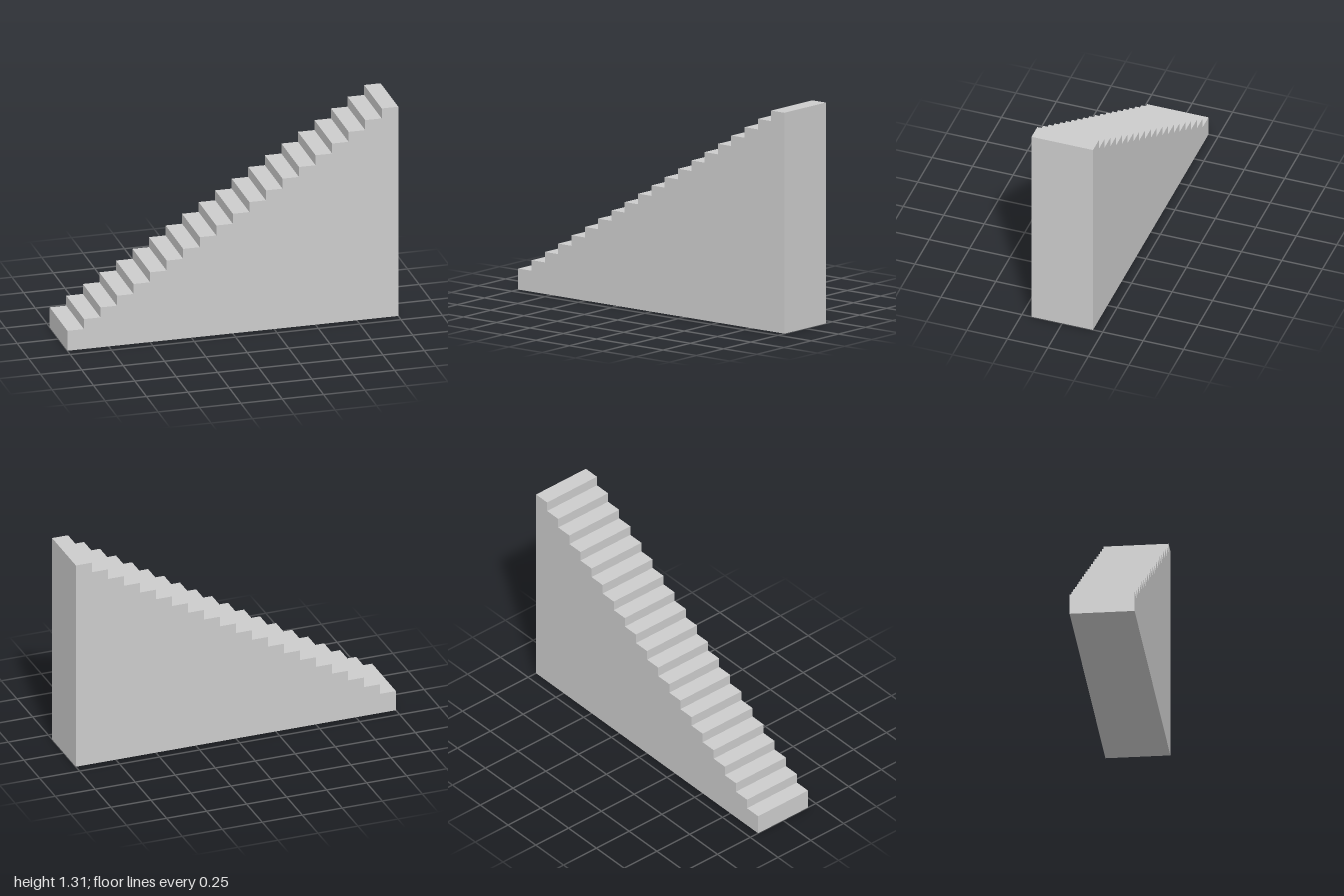
import * as THREE from 'three';

const STEPS = 20;
const TREAD = 0.1;
const RISE = 0.0625;
const DEPTH = 0.38;

export function createModel() {
  const group = new THREE.Group();
  group.name = 'staircase';

  // Stepped side profile; the first step is twice the rise
  const profile = new THREE.Shape();
  profile.moveTo(-1, 0);
  profile.lineTo(1, 0);
  for (let i = STEPS - 1; i >= 0; i--) {
    const y = RISE * (i + 2);
    profile.lineTo(-1 + TREAD * (i + 1), y);
    profile.lineTo(-1 + TREAD * i, y);
  }
  profile.closePath();

  // Solid flight of steps
  const geometry = new THREE.ExtrudeGeometry(profile, { depth: DEPTH, bevelEnabled: false });
  geometry.translate(0, 0, -DEPTH / 2);
  const material = new THREE.MeshStandardMaterial({ color: 0xcccccc, flatShading: true });
  const steps = new THREE.Mesh(geometry, material);
  steps.name = 'steps';
  group.add(steps);

  return group;
}
